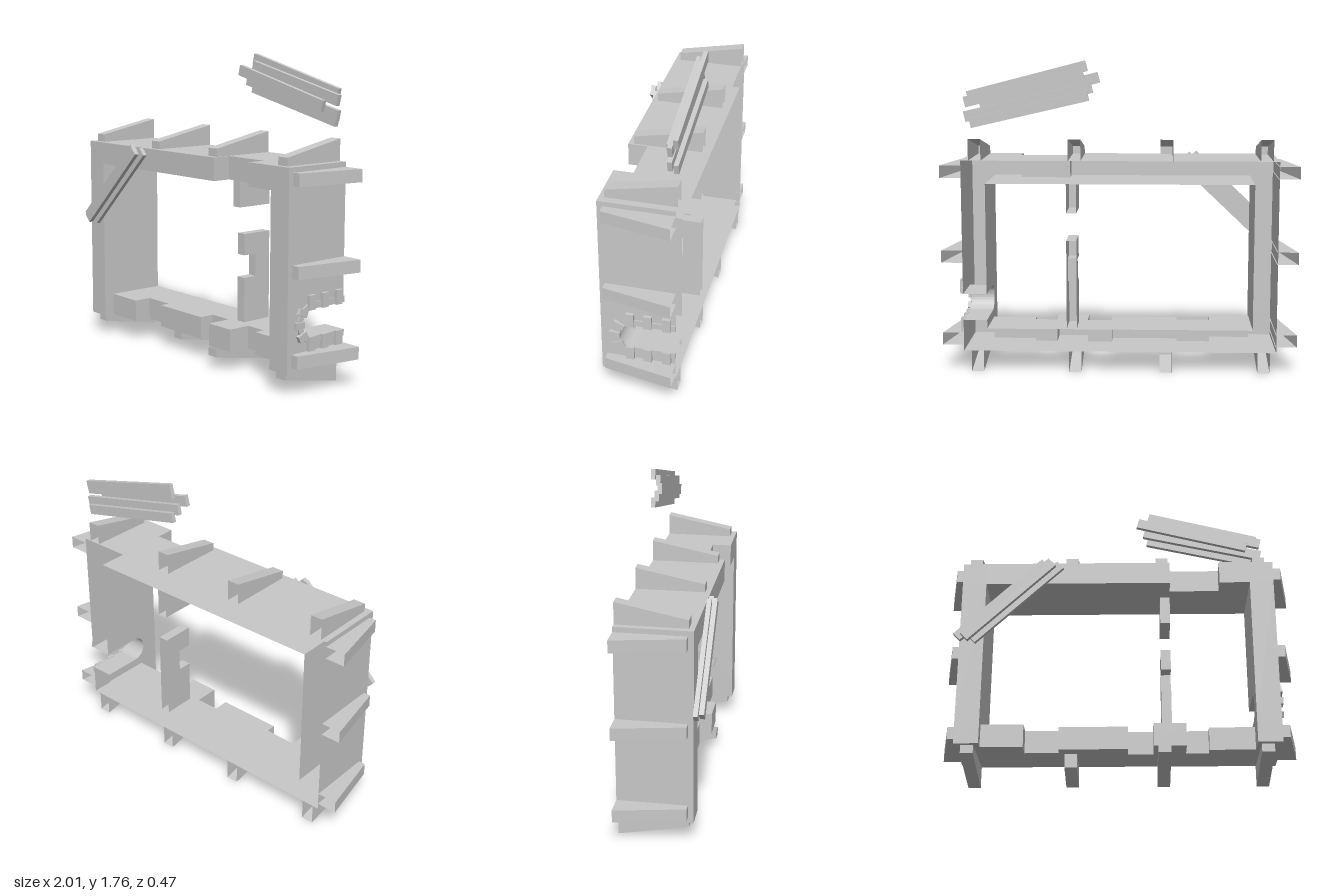
import * as THREE from 'three';

const BACK = -0.235, FRONT = 0.18;
const OUT = { x0: -0.89, x1: 0.885, y0: 0.12, y1: 1.21 };
const IN = { x0: -0.755, x1: 0.75, y0: 0.25, y1: 1.08 };

// Flat quads, four corners each
function quads(list) {
  const pos = [];
  for (const [a, b, c, d] of list) pos.push(...a, ...b, ...c, ...a, ...c, ...d);
  const g = new THREE.BufferGeometry();
  g.setAttribute('position', new THREE.Float32BufferAttribute(pos, 3));
  g.computeVertexNormals();
  return g;
}
const faceZ = (x0, x1, y0, y1, z) => [[x0, y0, z], [x1, y0, z], [x1, y1, z], [x0, y1, z]];
const faceY = (x0, x1, y, z0, z1) => [[x0, y, z1], [x1, y, z1], [x1, y, z0], [x0, y, z0]];
const faceX = (x, y0, y1, z0, z1) => [[x, y0, z1], [x, y0, z0], [x, y1, z0], [x, y1, z1]];

// Arch outline in (z, y), open towards the back
const ARCH = { z: 0, y: 0.375 };
function archPath(path, r, reverse) {
  if (reverse) {
    path.lineTo(BACK, ARCH.y - r);
    path.lineTo(ARCH.z, ARCH.y - r);
    path.absarc(ARCH.z, ARCH.y, r, -Math.PI / 2, Math.PI / 2, false);
    path.lineTo(BACK, ARCH.y + r);
  } else {
    path.lineTo(BACK, ARCH.y + r);
    path.lineTo(ARCH.z, ARCH.y + r);
    path.absarc(ARCH.z, ARCH.y, r, Math.PI / 2, -Math.PI / 2, true);
    path.lineTo(BACK, ARCH.y - r);
  }
}

export function createModel() {
  const root = new THREE.Group();
  const stone = new THREE.MeshStandardMaterial({ color: 0xc8c8c8, side: THREE.DoubleSide });
  stone.name = 'plainGrey';
  const add = (name, geo, parent = root) => {
    const m = new THREE.Mesh(geo, stone);
    m.name = name;
    parent.add(m);
    return m;
  };

  // Horizontal channel with a stepped front, hollow from behind
  function beam(name, y0, y1, innerY, outerY, segs) {
    const list = [];
    segs.forEach(([x0, x1, z], i) => {
      list.push(faceZ(x0, x1, y0, y1, z), faceY(x0, x1, outerY, BACK, z));
      if (i > 0 && i < segs.length - 1) list.push(faceY(x0, x1, innerY, BACK, z));
      if (i > 0 && segs[i - 1][2] !== z) list.push(faceX(x0, y0, y1, segs[i - 1][2], z));
    });
    add(name, quads(list));
  }
  // Chain of [end, depth] steps starting at the outer corner
  const chain = (steps) => steps.map(([x1, z], i) => [i ? steps[i - 1][0] : OUT.x0, x1, z]);
  beam('topBeam', IN.y1, OUT.y1, IN.y1, OUT.y1, chain([
    [IN.x0, FRONT], [0.295, FRONT], [0.578, 0.07], [IN.x1, FRONT], [OUT.x1, FRONT]]));
  beam('bottomBeam', OUT.y0, IN.y0, IN.y0, OUT.y0, chain([
    [IN.x0, FRONT], [-0.52, 0.117], [-0.33, 0.01], [0.05, 0.07], [0.19, -0.02],
    [0.37, 0.125], [0.497, -0.01], [IN.x1, 0.05], [OUT.x1, FRONT]]));

  // Right wall
  add('rightWall', quads([
    faceZ(OUT.x0, IN.x0, IN.y0, IN.y1, FRONT),
    faceX(OUT.x0, OUT.y0, OUT.y1, BACK, FRONT),
    faceX(IN.x0, IN.y0, IN.y1, BACK, FRONT)]));

  // Left wall: both skins are pierced by the arched tunnel
  add('leftWallFront', quads([faceZ(IN.x1, OUT.x1, IN.y0, IN.y1, FRONT)]));
  const piercedSkin = (name, x, y0, y1) => {
    const s = new THREE.Shape();
    s.moveTo(BACK, y0);
    s.lineTo(FRONT, y0);
    s.lineTo(FRONT, y1);
    s.lineTo(BACK, y1);
    archPath(s, 0.075, false);
    const g = new THREE.ShapeGeometry(s, 16);
    g.rotateY(-Math.PI / 2);
    g.translate(x, 0, 0);
    add(name, g);
  };
  piercedSkin('leftWallOuter', OUT.x1, OUT.y0, OUT.y1);
  piercedSkin('leftWallInner', IN.x1, IN.y0, IN.y1);

  // Tunnel lining
  const rim = [[BACK, ARCH.y + 0.075]];
  for (let i = 0; i <= 16; i++) {
    const a = Math.PI / 2 - (i / 16) * Math.PI;
    rim.push([ARCH.z + 0.075 * Math.cos(a), ARCH.y + 0.075 * Math.sin(a)]);
  }
  rim.push([BACK, ARCH.y - 0.075]);
  add('tunnelLining', quads(rim.slice(1).map(([z, y], i) => {
    const [pz, py] = rim[i];
    return [[IN.x1, py, pz], [OUT.x1, py, pz], [OUT.x1, y, z], [IN.x1, y, z]];
  })));

  // Raised band and stones around the arch
  const arch = new THREE.Group();
  arch.name = 'archSurround';
  root.add(arch);
  const band = new THREE.Shape();
  band.moveTo(BACK, ARCH.y - 0.11);
  archPath(band, 0.11, true);
  archPath(band, 0.075, false);
  const bandGeo = new THREE.ExtrudeGeometry(band, { depth: 0.008, bevelEnabled: false, curveSegments: 16 });
  bandGeo.rotateY(-Math.PI / 2);
  bandGeo.translate(OUT.x1 + 0.008, 0, 0);
  add('archBand', bandGeo, arch);
  for (const z of [0.016, -0.083, -0.187])
    for (const s of [-1, 1])
      add('archStone', new THREE.BoxGeometry(0.02, 0.08, 0.046), arch)
        .position.set(OUT.x1 + 0.01, ARCH.y + s * 0.112, z);
  for (const a of [-0.66, 0, 0.66]) {
    const m = add('archStone', new THREE.BoxGeometry(0.02, 0.036, 0.062), arch);
    m.position.set(OUT.x1 + 0.01, ARCH.y + 0.105 * Math.sin(a), 0.102 * Math.cos(a));
    m.rotation.x = -a * 0.6;
  }

  // Tapered buttress fins, open at the back and base
  function fin(name, x, y, turn, zf = 0.15) {
    const w = 0.035, hb = 0.12;
    const hf = 0.045 + ((0.15 - zf) / (0.15 - BACK)) * 0.075;
    const side = (s) => [[s * w, 0, zf], [s * w, 0, BACK], [s * w, hb, BACK], [s * w, hf, zf]];
    const m = add(name, quads([side(-1), side(1), faceZ(-w, w, 0, hf, zf),
      [[-w, hf, zf], [w, hf, zf], [w, hb, BACK], [-w, hb, BACK]]]));
    m.position.set(x, y, 0);
    m.rotation.z = turn;
  }
  for (const x of [-0.82, -0.265, 0.25, 0.807]) {
    fin('topFin', x, OUT.y1, 0);
    fin('bottomFin', x, OUT.y0, Math.PI, x === -0.265 ? -0.01 : 0.15);
  }
  for (const y of [0.19, 0.665, 1.147]) {
    fin('leftFin', OUT.x1, y, -Math.PI / 2);
    fin('rightFin', OUT.x0 + 0.005, y, Math.PI / 2);
  }

  // Broken upright in the opening, hollow from behind
  const mx0 = 0.24, mx1 = 0.297;
  function upright(name, segs) {
    const list = [];
    segs.forEach(([y0, y1, z], i) => {
      list.push(faceZ(mx0, mx1, y0, y1, z), faceX(mx0, y0, y1, BACK, z), faceX(mx1, y0, y1, BACK, z));
      if (i) list.push(faceY(mx0, mx1, y0, segs[i - 1][2], z));
    });
    const first = segs[0], last = segs[segs.length - 1];
    list.push(faceY(mx0, mx1, first[0], BACK, first[2]), faceY(mx0, mx1, last[1], BACK, last[2]));
    add(name, quads(list));
  }
  upright('lowerUpright', [[IN.y0, 0.508, -0.045], [0.508, 0.638, -0.13], [0.638, 0.76, -0.045]]);
  upright('upperUpright', [[0.915, IN.y1, -0.01]]);

  // Loose planks between two end points
  function plank(name, [xa, ya], [xb, yb], w, z0, z1) {
    const m = add(name, new THREE.BoxGeometry(Math.hypot(xb - xa, yb - ya), w, z1 - z0));
    m.position.set((xa + xb) / 2, (ya + yb) / 2, (z0 + z1) / 2);
    m.rotation.z = Math.atan2(yb - ya, xb - xa);
  }
  plank('bracePlank', [-0.905, 0.74], [-0.42, 1.205], 0.055, FRONT, 0.205);
  plank('bracePlank', [-0.82, 0.725], [-0.332, 1.19], 0.055, FRONT, 0.205);
  plank('braceFrontPlank', [-0.862, 0.732], [-0.378, 1.195], 0.06, 0.205, 0.232);
  plank('flyingPlank', [0.18, 1.735], [0.838, 1.565], 0.06, BACK, -0.21);
  plank('flyingPlank', [0.172, 1.57], [0.828, 1.418], 0.055, BACK, -0.21);
  plank('flyingPlank', [0.2, 1.695], [0.862, 1.533], 0.06, -0.21, -0.185);
  plank('flyingPlank', [0.152, 1.615], [0.862, 1.452], 0.06, -0.21, -0.185);
  plank('flyingFrontPlank', [0.115, 1.67], [0.775, 1.5], 0.06, -0.185, -0.16);

  return root;
}
